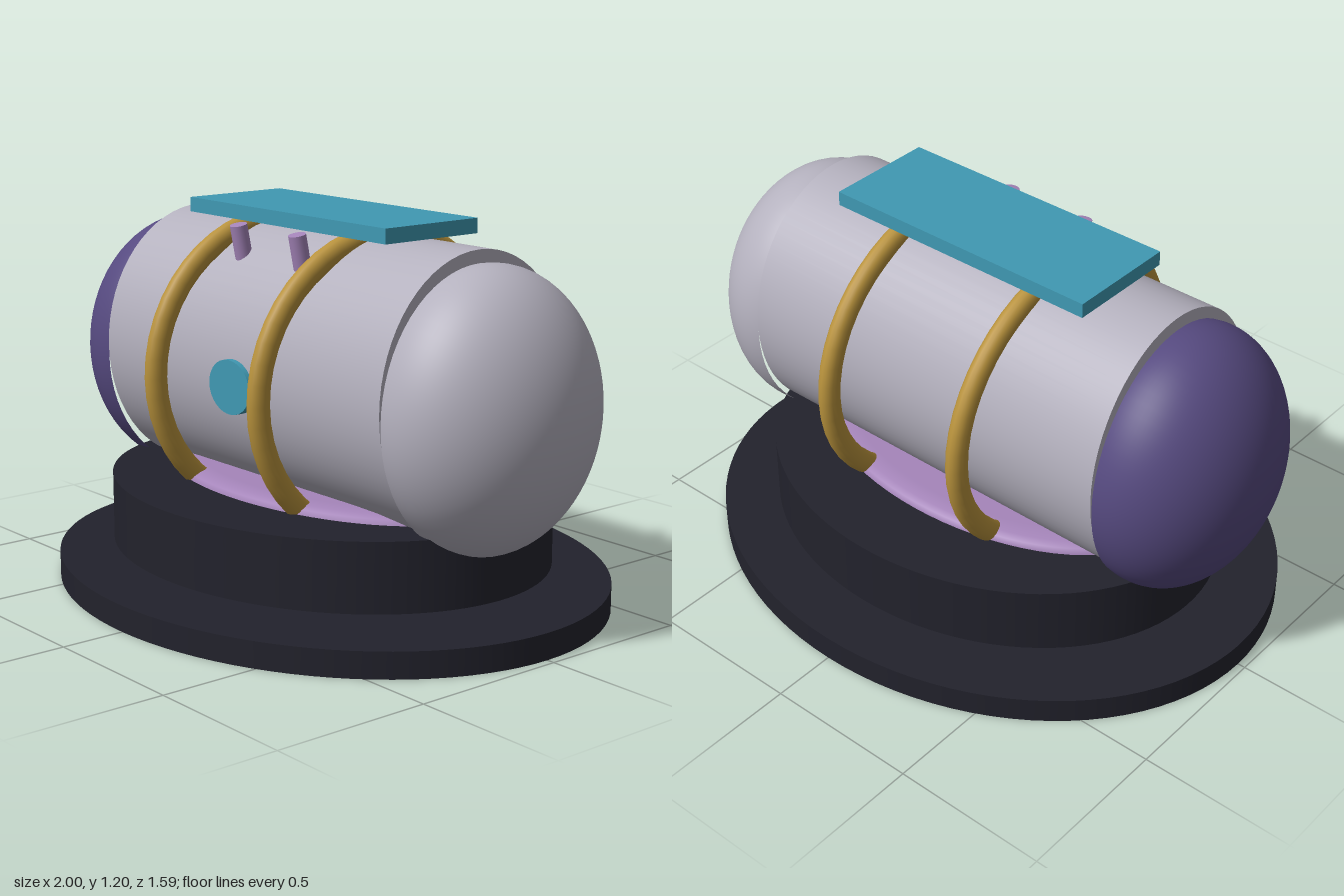
import * as THREE from 'three';

export function createModel() {
  const model = new THREE.Group();
  model.name = 'capsuleOnPedestal';

  const mat = (name, hex) => {
    const m = new THREE.MeshStandardMaterial({ color: hex });
    m.name = name;
    return m;
  };
  const shellGrey = mat('shellGrey', 0xb4b1be);
  const deepPurple = mat('deepPurple', 0x564a80);
  const teal = mat('teal', 0x4099b3);
  const gold = mat('gold', 0xb8923c);
  const lilac = mat('lilac', 0xa585ba);
  const charcoal = mat('charcoal', 0x22222c);

  const add = (name, geometry, material, x = 0, y = 0, z = 0) => {
    const mesh = new THREE.Mesh(geometry, material);
    mesh.name = name;
    mesh.position.set(x, y, z);
    model.add(mesh);
    return mesh;
  };

  // Oval pedestal: a wide plate with a thicker drum floating just above it
  const ovalDisc = (name, rx, rz, y0, y1) => {
    const g = new THREE.CylinderGeometry(1, 1, y1 - y0, 96).scale(rx, 1, rz);
    add(name, g, charcoal, 0, (y0 + y1) / 2);
  };
  ovalDisc('basePlate', 0.975, 0.795, 0, 0.082);
  ovalDisc('pedestalDrum', 0.775, 0.632, 0.126, 0.342);

  // Soft oval cushion between drum and body
  const cushionProfile = [[1, 0.32], [1, 0.343], [0.975, 0.356], [0.93, 0.366], [0.82, 0.371], [0, 0.371]]
    .map(([r, y]) => new THREE.Vector2(r, y));
  add('cushion', new THREE.LatheGeometry(cushionProfile, 72).scale(0.66, 1, 0.39), lilac);

  // Horizontal body, taller than deep
  const body = new THREE.CylinderGeometry(1, 1, 1.34, 64).rotateZ(Math.PI / 2).scale(1, 0.43, 0.375);
  add('body', body, shellGrey, 0, 0.715);

  // Domed end caps, set slightly lower than the body
  for (const [side, name, material] of [[1, 'leftEndCap', shellGrey], [-1, 'rightEndCap', deepPurple]]) {
    const cap = new THREE.SphereGeometry(1, 64, 32, 0, Math.PI * 2, 0, Math.PI / 2 + 0.14)
      .rotateZ(-side * Math.PI / 2)
      .scale(0.287, 0.428, 0.376);
    add(name, cap, material, side * 0.713, 0.682);
  }

  // Paired hoops and top pegs
  for (const side of [1, -1]) {
    const prefix = side > 0 ? 'left' : 'right';
    const hoop = new THREE.TorusGeometry(0.478, 0.037, 16, 48).rotateY(Math.PI / 2).scale(0.82, 0.96, 1);
    add(prefix + 'Hoop', hoop, gold, side * 0.257, 0.685);

    const peg = add(prefix + 'Peg', new THREE.CylinderGeometry(0.027, 0.027, 0.15, 20), lilac,
      side * 0.143, 1.077, 0.225);
    peg.rotation.x = 0.2;
  }

  // Round window on the front
  const porthole = new THREE.CylinderGeometry(1, 1, 0.03, 40).rotateX(Math.PI / 2).scale(0.1, 0.084, 1);
  add('porthole', porthole, teal, 0, 0.685, 0.375);

  // Flat panel on the top
  add('topPanel', new THREE.BoxGeometry(0.945, 0.046, 0.362), teal, 0, 1.176);

  return model;
}
